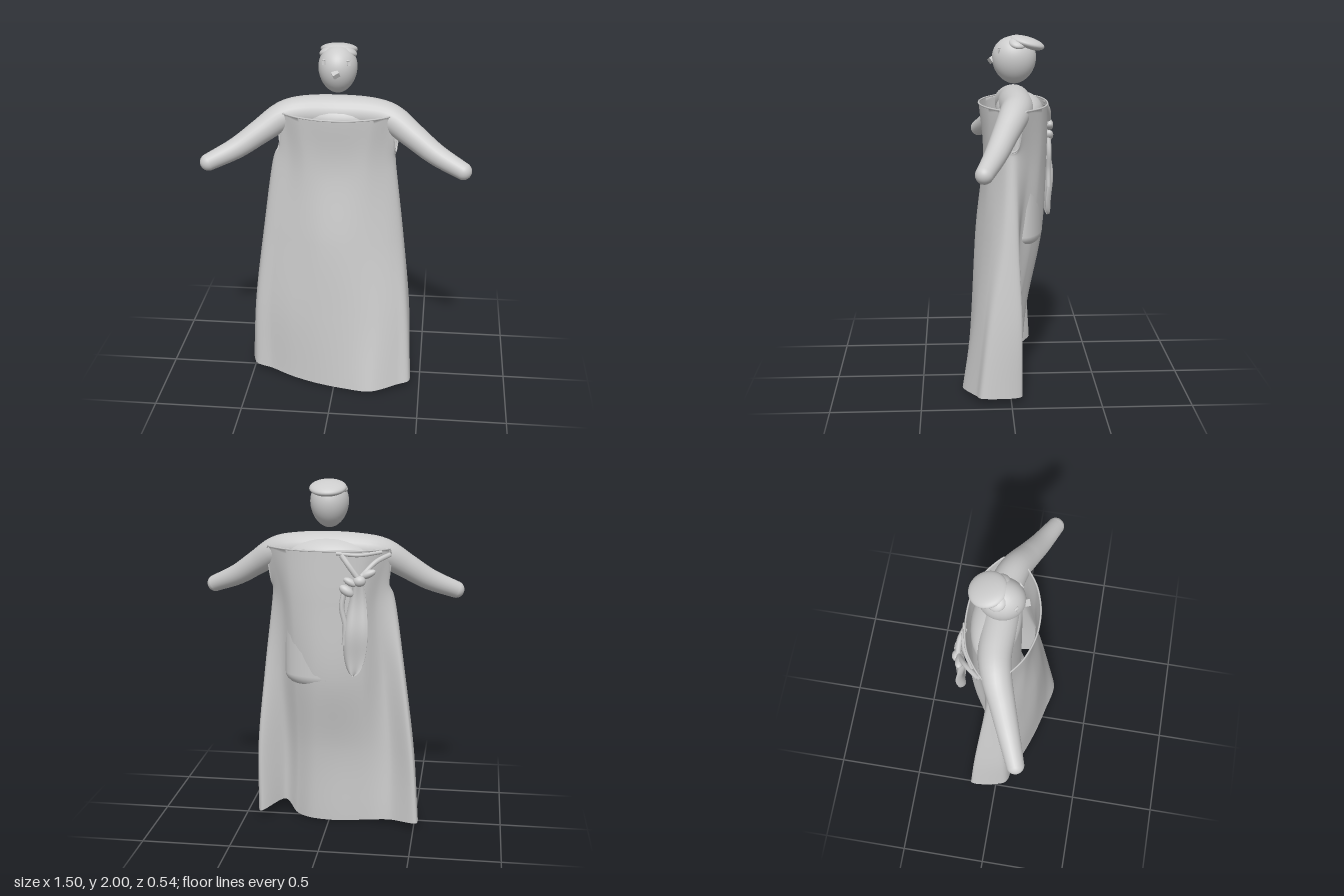
import * as THREE from 'three';
import { ParametricGeometry } from 'three/addons/geometries/ParametricGeometry.js';

const V = (x, y, z) => new THREE.Vector3(x, y, z);
const TOP = 1.63;

// Cross-sections of the gown as [x, z], from the +x side pleat across the front and round the back
const topRow = [[.32, .02], [.295, .055], [.2, .12], [.07, .16], [-.07, .16], [-.2, .12], [-.295, .055],
  [-.32, .02], [-.33, -.04], [-.34, -.09], [-.22, -.18], [-.08, -.215], [.08, -.215], [.22, -.175],
  [.34, -.08], [.33, -.04]];
const chestRow = [[.32, .02], [.26, .07], [.17, .12], [.06, .14], [-.06, .14], [-.17, .12], [-.26, .07],
  [-.355, .015], [-.36, -.045], [-.27, -.1], [-.19, -.18], [-.07, -.21], [.07, -.21], [.19, -.17],
  [.26, -.1], [.325, -.03]];
const hipRow = [[.375, .04], [.31, .1], [.2, .15], [.06, .185], [-.08, .18], [-.22, .13], [-.33, .08],
  [-.42, .02], [-.425, -.09], [-.31, -.06], [-.2, -.15], [-.06, -.19], [.07, -.185], [.18, -.13],
  [.27, -.05], [.37, -.04]];
const kneeRow = [[.42, .1], [.36, .15], [.24, .2], [.08, .215], [-.1, .195], [-.25, .15], [-.38, .09],
  [-.475, .04], [-.485, -.13], [-.35, -.05], [-.21, -.08], [-.06, -.1], [.08, -.1], [.18, -.05],
  [.27, .01], [.41, -.06]];
const hemRow = [[.445, .15], [.37, .2], [.22, .27], [.06, .24], [-.1, .2], [-.25, .15], [-.38, .09],
  [-.49, .05], [-.52, -.155], [-.36, -.07], [-.22, -.06], [-.06, -.075], [.1, -.06], [.2, 0],
  [.28, .04], [.41, -.06]];

export function createModel() {
  const model = new THREE.Group();
  const grey = new THREE.MeshStandardMaterial({ color: 0xcccccc, side: THREE.DoubleSide });
  grey.name = 'plain grey';

  const add = (name, geometry) => {
    const mesh = new THREE.Mesh(geometry, grey);
    mesh.name = name;
    model.add(mesh);
    return mesh;
  };
  const ball = (name, p, s, r = [0, 0, 0]) => {
    const m = add(name, new THREE.SphereGeometry(1, 32, 20));
    m.position.set(...p);
    m.scale.set(...s);
    m.rotation.set(...r);
  };
  // Round limb through [x, y, z, radius] stations with ball ends
  const limb = (name, stations) => {
    const path = new THREE.CatmullRomCurve3(stations.map(s => V(s[0], s[1], s[2])), false, 'catmullrom');
    const radii = new THREE.CatmullRomCurve3(stations.map(s => V(s[3], 0, 0)), false, 'catmullrom');
    const up = V(0, 0, 1);
    add(name, new ParametricGeometry((u, v, out) => {
      const t = path.getTangent(v), r = radii.getPoint(v).x;
      const a = V(0, 0, 0).crossVectors(t, up).normalize();
      const b = V(0, 0, 0).crossVectors(a, t);
      out.copy(path.getPoint(v))
        .addScaledVector(a, r * Math.cos(u * Math.PI * 2))
        .addScaledVector(b, r * Math.sin(u * Math.PI * 2));
    }, 24, 40));
    for (const s of [stations[0], stations[stations.length - 1]])
      ball(name + 'End', s.slice(0, 3), [s[3], s[3], s[3]]);
  };

  // Gown: closed loops blended from neckline to hem, dipping at the armholes
  const armhole = [0, 7, 8, 15];
  const levels = [
    [topRow, (x, i) => (armhole.includes(i) ? 1.43 : TOP)],
    [chestRow, () => 1.33],
    [hipRow, () => 0.9],
    [kneeRow, () => 0.45],
    [hemRow, (x, i) => 0.01 + 0.16 * x * x + (i === 14 ? 0.06 : 0)],
  ];
  const loops = levels.map(([row, y]) => new THREE.CatmullRomCurve3(
    row.map(([x, z], i) => V(x, y(x, i), z)), true, 'catmullrom', 0.45));
  const gownPoint = (u, v, out) => {
    const column = new THREE.CatmullRomCurve3(loops.map(l => l.getPoint(u)), false, 'catmullrom', 0.5);
    out.copy(column.getPoint(v));
    out.y = THREE.MathUtils.clamp(out.y, 0.003, TOP);
    return out;
  };
  add('gown', new ParametricGeometry(gownPoint, 128, 48));
  const rim = Array.from({ length: 96 }, (_, i) => gownPoint(i / 96, 0, V(0, 0, 0)));
  add('gownRim', new THREE.TubeGeometry(new THREE.CatmullRomCurve3(rim, true), 192, 0.005, 6, true));

  // Arms and shoulders in one sweep
  const arm = [[.7, 1.367, .152, .048], [.55, 1.435, .09, .06], [.42, 1.52, .035, .07],
    [.3, 1.595, -.015, .082], [.18, 1.616, -.04, .09]];
  limb('armsAndShoulders', [...arm, [0, 1.619, -.04, .096],
    ...arm.map(([x, y, z, r]) => [-x, y, z, r]).reverse()]);

  // Torso filling the back of the gown, and legs below
  const torso = add('torso', new THREE.CapsuleGeometry(.1, .68, 10, 32));
  torso.scale.set(2.5, 1, 1.32);
  torso.position.set(0, 1.25, -.062);
  limb('leftLeg', [[.11, .9, -.04, .075], [.15, .45, .05, .06], [.2, .065, .15, .055]]);
  limb('rightLeg', [[-.11, .9, -.04, .075], [-.11, .45, .02, .06], [-.1, .06, .02, .055]]);

  // Egg-shaped head, narrower at the chin
  const egg = new THREE.SphereGeometry(1, 40, 28);
  const p = egg.attributes.position;
  for (let i = 0; i < p.count; i++) {
    const y = p.getY(i), k = 1 + 0.1 * y;
    p.setXYZ(i, p.getX(i) * .106 * k, y * .131, p.getZ(i) * .122 * k);
  }
  egg.computeVertexNormals();
  add('head', egg).position.set(0, 1.867, -.033);

  // Swept-back hair with two side lobes at the hairline
  ball('hair', [0, 1.96, -.102], [.102, .034, .102], [-.27, 0, 0]);
  for (const s of [-1, 1]) {
    ball('hairLobe', [s * .056, 1.962, -.05], [.05, .024, .05], [-.15, 0, -s * .45]);
    const eye = add('eye', new THREE.BoxGeometry(.018, .022, .014));
    eye.position.set(s * .065, 1.92, .056);
    eye.rotation.set(-.3, s * .6, 0);
    ball('eyebrow', [s * .066, 1.936, .052], [.014, .004, .006], [0, s * .6, 0]);
  }
  const nose = add('nose', new THREE.BoxGeometry(.036, .03, .03));
  nose.position.set(0, 1.868, .09);
  nose.rotation.set(.5, .5, .25);

  // Knotted sash hanging on the back
  const strand = (name, pts, r) => add(name, new THREE.TubeGeometry(
    new THREE.CatmullRomCurve3(pts.map(q => V(...q))), 24, r, 8));
  strand('sashStrap', [[-.34, 1.6, -.1], [-.27, 1.57, -.18], [-.2, 1.5, -.23]], .014);
  strand('sashStrap', [[-.09, 1.61, -.215], [-.13, 1.56, -.235], [-.19, 1.48, -.24]], .016);
  strand('sashStrap', [[-.3, 1.62, -.14], [-.18, 1.61, -.205], [-.06, 1.62, -.22]], .01);
  ball('sashKnot', [-.19, 1.475, -.24], [.035, .03, .03]);
  ball('sashBow', [-.23, 1.51, -.22], [.05, .022, .024], [0, 0, -.4]);
  ball('sashBow', [-.12, 1.42, -.24], [.045, .026, .026], [0, 0, .6]);
  ball('sashBow', [-.14, 1.47, -.245], [.04, .02, .022], [0, 0, .5]);
  // Tail as a flattened loft, wavy along its length
  add('sashTail', new ParametricGeometry((u, v, out) => {
    const a = u * Math.PI * 2;
    const w = .03 + .038 * Math.sin(v * Math.PI * .8);
    const end = Math.sqrt(Math.max(0, 1 - v ** 8));
    out.set(-.185 + .025 * v + w * end * Math.cos(a),
      1.46 - .52 * v,
      -.23 - .015 * v + .008 * Math.sin(v * 9) + .018 * end * Math.sin(a) + .008 * Math.cos(a * 3));
  }, 32, 30));
  strand('sashTailFold', [[-.11, 1.43, -.235], [-.095, 1.33, -.24], [-.115, 1.22, -.24], [-.11, 1.12, -.24]], .015);

  return model;
}
